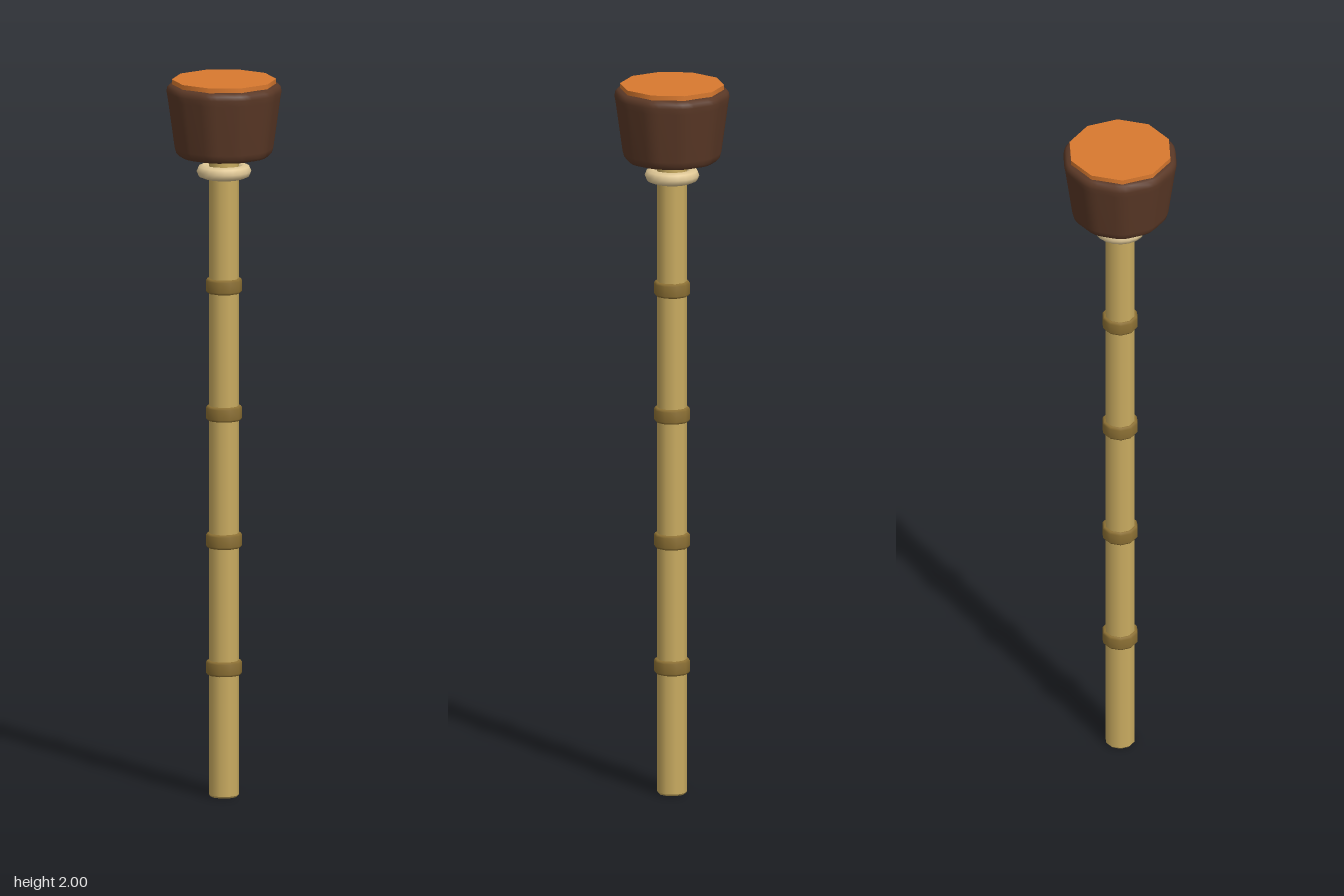
import * as THREE from 'three';
import { mergeVertices } from 'three/addons/utils/BufferGeometryUtils.js';

const SIDES = 10;

function material(name, color) {
  const m = new THREE.MeshStandardMaterial({ color });
  m.name = name;
  return m;
}

const toPoints = (profile) => profile.map(([r, y]) => new THREE.Vector2(r, y));

// Ten-sided outline with rounded corners, inner radius 1, four points per corner
function roundedOutline() {
  const half = Math.PI / SIDES, round = 0.5, reach = (1 - round) / Math.cos(half);
  const pts = [];
  for (let k = 0; k < SIDES; k++) {
    const corner = 2 * half * k;
    for (let j = 0; j < 4; j++) {
      const a = corner + half * (j / 1.5 - 1);
      pts.push([
        reach * Math.sin(corner) + round * Math.sin(a),
        reach * Math.cos(corner) + round * Math.cos(a),
      ]);
    }
  }
  return pts;
}

// Sweep a profile up the rounded outline
function roundedDrum(profile) {
  const outline = roundedOutline(), n = outline.length;
  const geo = new THREE.LatheGeometry(toPoints(profile), n);
  const pos = geo.attributes.position;
  for (let i = 0; i <= n; i++) {
    const [x, z] = outline[i % n];
    profile.forEach(([r, y], j) => pos.setXYZ(i * profile.length + j, r * x, y, r * z));
  }
  geo.deleteAttribute('normal');
  geo.deleteAttribute('uv');
  const merged = mergeVertices(geo, 1e-5);
  merged.computeVertexNormals();
  return merged;
}

export function createModel() {
  const model = new THREE.Group();
  const bamboo = material('bamboo', 0xc9ab60);
  const nodeBrown = material('darkBamboo', 0x8c7034);
  const cream = material('cream', 0xe0c896);
  const bark = material('darkBrown', 0x5a3826);
  const orange = material('orange', 0xd9792f);

  const add = (name, geo, mat, y = 0) => {
    const mesh = new THREE.Mesh(geo, mat);
    mesh.name = name;
    mesh.position.y = y;
    model.add(mesh);
    return mesh;
  };

  // Pole with a slightly chamfered foot
  add('pole', new THREE.CylinderGeometry(0.041, 0.041, 1.79, SIDES, 1, true), bamboo, 0.9);
  add('poleFoot', new THREE.CylinderGeometry(0.041, 0.037, 0.005, SIDES), bamboo, 0.0025);

  // Raised bands at even spacing
  const band = new THREE.LatheGeometry(toPoints([
    [0.038, -0.02], [0.046, -0.02], [0.05, -0.014],
    [0.05, 0.014], [0.046, 0.02], [0.038, 0.02],
  ]), SIDES);
  for (let i = 1; i <= 4; i++) add('band' + i, band, nodeBrown, 0.005 + 0.355 * i);

  // Rounded collar below the head
  const collar = new THREE.TorusGeometry(0.056, 0.019, 8, 20);
  collar.rotateX(Math.PI / 2);
  add('collar', collar, cream, 1.744);

  // Tapered head with softened rims
  add('head', roundedDrum([
    [0, 1.785], [0.11, 1.785], [0.121, 1.788], [0.128, 1.796], [0.132, 1.81],
    [0.151, 1.95], [0.154, 1.967], [0.152, 1.978], [0.146, 1.985], [0.136, 1.987], [0, 1.987],
  ]), bark);

  // Flat top disc
  add('topDisc', new THREE.CylinderGeometry(0.143, 0.143, 0.018, SIDES), orange, 1.991);

  return model;
}
